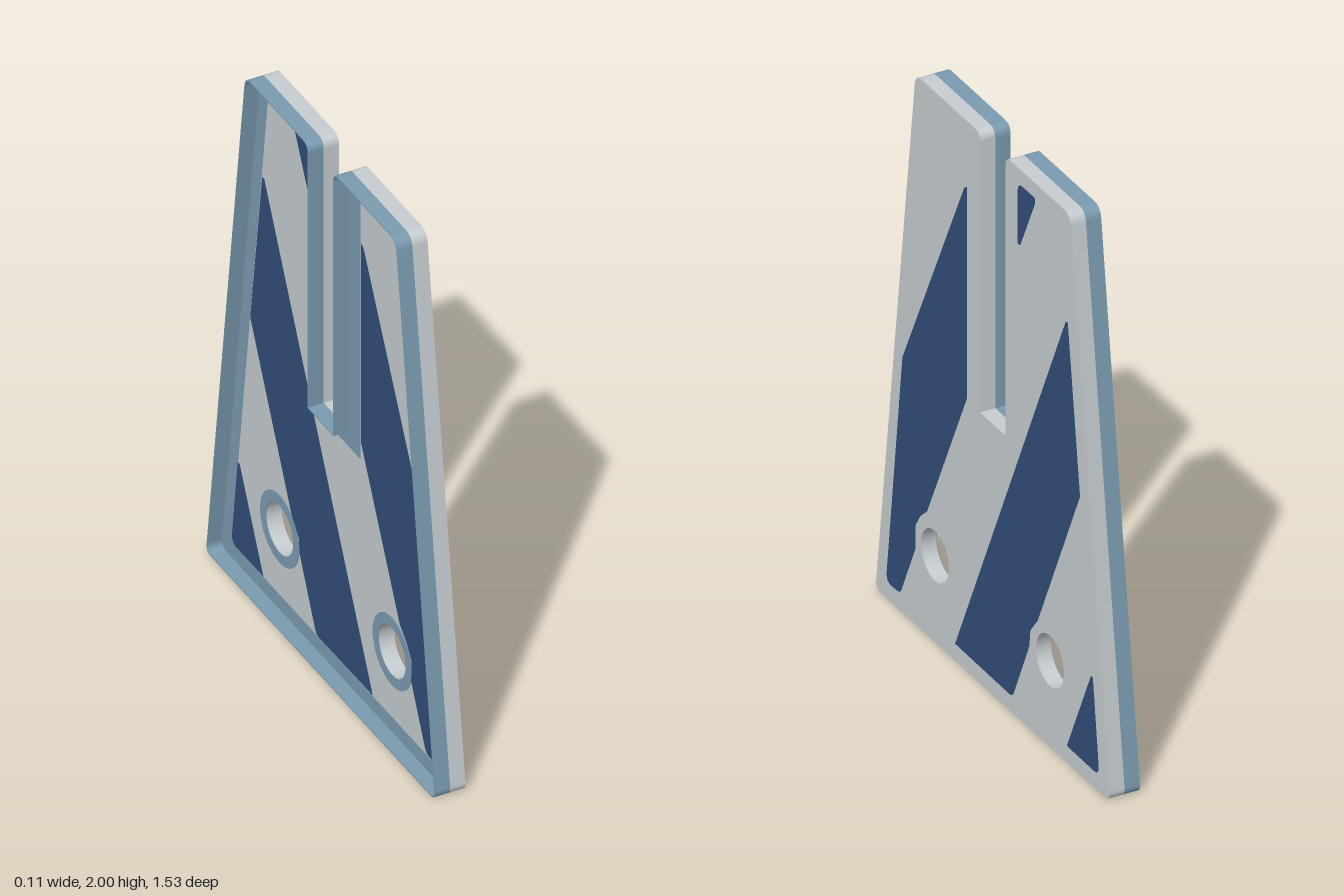
import * as THREE from 'three';

const mat = (name, color) => Object.assign(new THREE.MeshStandardMaterial({ color }), { name });
const HOLES = [0.378, -0.375], HOLE_Y = 0.314, HOLE_R = 0.091;

// Closed path through [z, y, cornerRadius] points, drawn with shape x = -z
function roundedPath(points, Type = THREE.Shape) {
  const path = new Type();
  const v = points.map(([z, y]) => new THREE.Vector2(-z, y));
  const n = v.length;
  v.forEach((p, i) => {
    const r = points[i][2] || 0;
    const toward = (q) => q.clone().sub(p).setLength(r).add(p);
    const a = r ? toward(v[(i + n - 1) % n]) : p;
    const b = r ? toward(v[(i + 1) % n]) : p;
    if (i === 0) path.moveTo(a.x, a.y); else path.lineTo(a.x, a.y);
    if (r) path.quadraticCurveTo(p.x, p.y, b.x, b.y);
  });
  path.closePath();
  return path;
}

// Tapered slotted outline, shrunk by d (and by s around the slot), anticlockwise
function outline(d = 0, s = d, Type = THREE.Shape) {
  const side = (y) => 0.768 - 0.131 * y - d;
  const half = 0.083 + s, top = 2 - d;
  const left = [
    [side(d), d, 0.035], [side(top), top, 0.04],
    [half, top, 0.035], [half, 0.985 - d],
  ];
  const right = left.map(([z, y, r]) => [-z, y, r]).reverse();
  return roundedPath([...left, ...right].reverse(), Type);
}

function circle(z, r, Type) {
  const path = new Type();
  path.absarc(-z, HOLE_Y, r, 0, Math.PI * 2, false);
  return path;
}

export function createModel() {
  const grey = mat('light grey', 0xc5cccf);
  const blue = mat('steel blue', 0x7a9bb0);
  const navy = mat('navy', 0x304d78);
  const group = new THREE.Group();
  group.name = 'slottedPlate';

  // Extrude a shape so that it spans x0 to x1
  const add = (name, shape, x0, x1, material) => {
    const geo = new THREE.ExtrudeGeometry(shape, { depth: x1 - x0, bevelEnabled: false, curveSegments: 24 });
    geo.translate(0, 0, x0).rotateY(Math.PI / 2);
    const mesh = new THREE.Mesh(geo, material);
    mesh.name = name;
    group.add(mesh);
  };

  // Grey slab with two bolt holes
  const slab = outline();
  HOLES.forEach((z) => slab.holes.push(circle(z, HOLE_R, THREE.Path)));
  add('slab', slab, 0, 0.0545, grey);

  // Thin upstanding wall around the rear edge, and the flat border inside it
  const wall = outline();
  wall.holes.push(outline(0.004, 0.004, THREE.Path));
  add('rearWall', wall, -0.055, 0, blue);
  const border = outline(0.002);
  border.holes.push(outline(0.06, 0.08, THREE.Path));
  add('rearBorder', border, -0.002, 0, blue);

  // Flat ring around each hole
  HOLES.forEach((z) => {
    const ring = circle(z, 0.13, THREE.Shape);
    ring.holes.push(circle(z, HOLE_R, THREE.Path));
    add('holeRing', ring, -0.002, 0, blue);
  });

  // Diagonal stripes on both faces
  const stripes = [
    [[0.17, 1.76], [0.17, 0.99], [0.43, 0.45], [0.475, 0.41], [0.507, 0.36], [0.505, 0.28],
      [0.605, 0.065, 0.02], [0.698, 0.06, 0.04], [0.59, 0.93], [0.185, 1.75]],
    [[0.245, 0.063], [-0.13, 0.06, 0.02], [-0.24, 0.3], [-0.247, 0.36], [-0.295, 0.42],
      [-0.572, 1.01], [-0.492, 1.6], [-0.48, 1.6]],
    [[-0.487, 0.062], [-0.698, 0.06, 0.035], [-0.656, 0.395], [-0.645, 0.395]],
    [[-0.165, 1.725], [-0.165, 1.945, 0.03], [-0.275, 1.945], [-0.277, 1.925], [-0.18, 1.725]],
  ];
  stripes.forEach((points) => {
    add('frontStripe', roundedPath(points), 0.053, 0.0555, navy);
    add('rearStripe', roundedPath(points), -0.0015, 0.001, navy);
  });

  return group;
}
